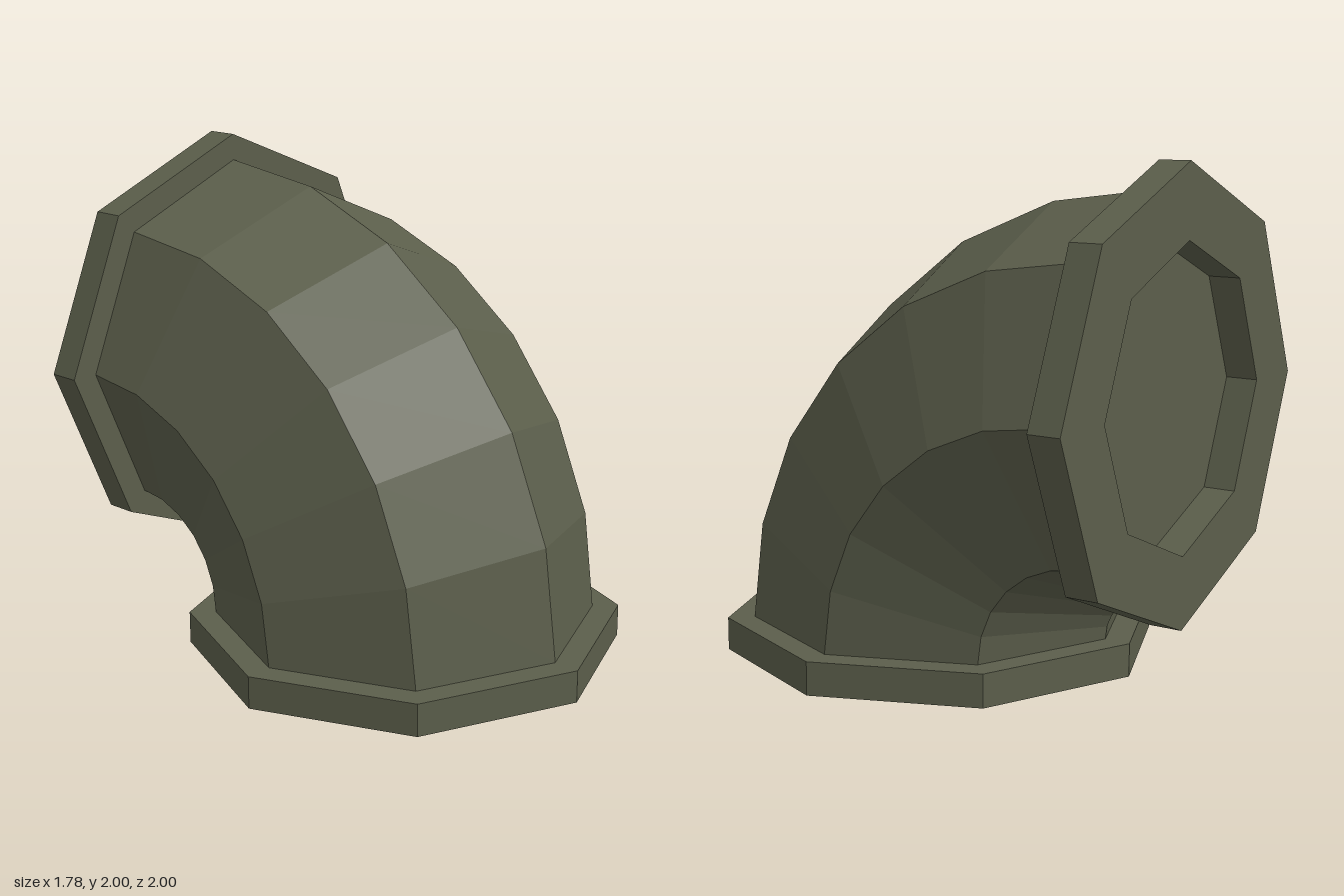
import * as THREE from 'three';

const SIDES = 8;
const FLANGE_R = 0.888, HOLE_R = 0.597, FLANGE_H = 0.133;
const PIPE_R = 0.78, BEND_R = 0.979;
const BEND_STEPS = 6;

export function createModel() {
  const model = new THREE.Group();
  model.name = 'pipeElbow';
  const olive = new THREE.MeshStandardMaterial({ color: 0x5b5e4b, flatShading: true });
  olive.name = 'olive metal';

  const add = (parent, name, geometry) => {
    const mesh = new THREE.Mesh(geometry, olive);
    mesh.name = name;
    parent.add(mesh);
    return mesh;
  };

  // Quarter bend with an octagonal section
  const bend = add(model, 'bend', new THREE.TorusGeometry(BEND_R, PIPE_R, SIDES, BEND_STEPS, Math.PI / 2));
  bend.rotation.y = -Math.PI / 2;
  bend.position.set(0, FLANGE_H, FLANGE_H - 1);

  // Octagonal flange ring with a recessed closing plate; its open face looks down
  const ring = [
    [FLANGE_R, 0], [FLANGE_R, FLANGE_H], [HOLE_R, FLANGE_H], [HOLE_R, 0], [FLANGE_R, 0],
  ].map(([r, y]) => new THREE.Vector2(r, y));

  const makeFlange = (name) => {
    const flange = new THREE.Group();
    flange.name = name;
    add(flange, name + 'Ring', new THREE.LatheGeometry(ring, SIDES));
    const plate = add(flange, name + 'Plate', new THREE.CircleGeometry(HOLE_R, SIDES));
    plate.rotation.x = Math.PI / 2;
    plate.position.y = FLANGE_H;
    model.add(flange);
    return flange;
  };

  makeFlange('bottomFlange').position.set(0, 0, FLANGE_H - 1 + BEND_R);

  const back = makeFlange('backFlange');
  back.rotation.x = Math.PI / 2;
  back.position.set(0, FLANGE_H + BEND_R, -1);

  return model;
}
